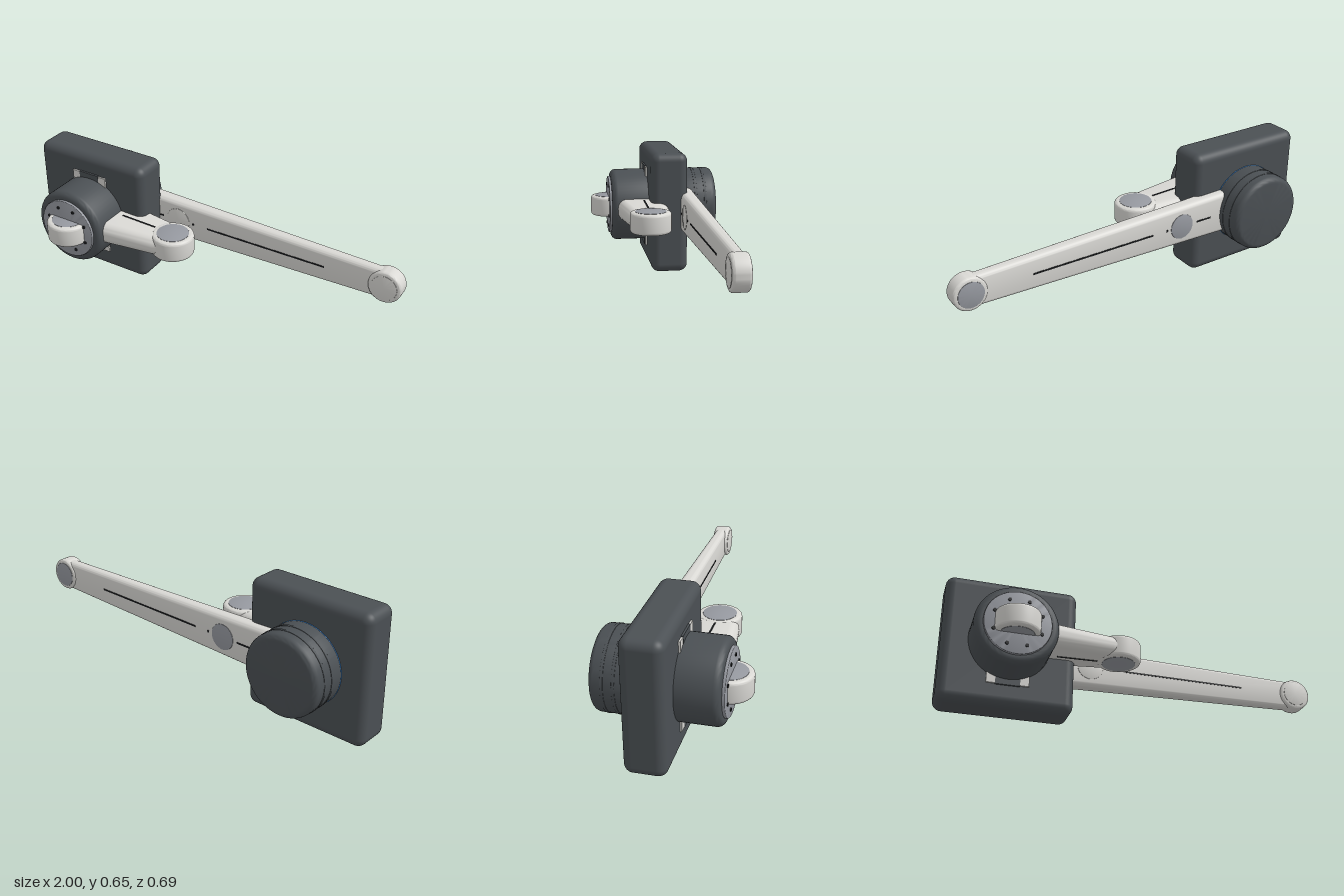
import * as THREE from 'three';
import { toCreasedNormals } from 'three/addons/utils/BufferGeometryUtils.js';
import { RoundedBoxGeometry } from 'three/addons/geometries/RoundedBoxGeometry.js';

const CX = -0.675, CY = 0.33;

function material(name, color) {
  const m = new THREE.MeshStandardMaterial({ color });
  m.name = name;
  return m;
}

// Solid disc along y with filleted rims
function roundDisc(radius, height, fillet, segments = 56) {
  const points = [new THREE.Vector2(0, -height / 2)];
  for (const side of [-1, 1]) {
    for (let i = 0; i <= 6; i++) {
      const a = side < 0 ? -Math.PI / 2 + (i / 6) * Math.PI / 2 : (i / 6) * Math.PI / 2;
      points.push(new THREE.Vector2(
        radius - fillet + Math.cos(a) * fillet,
        side * (height / 2 - fillet) + Math.sin(a) * fillet));
    }
  }
  points.push(new THREE.Vector2(0, height / 2));
  return toCreasedNormals(new THREE.LatheGeometry(points, segments), 0.6);
}

// Tapered bar along x; sections are [x, halfHeight, halfDepth, cornerRadius]
function taperedBar(sections) {
  const pos = [], index = [], steps = 8, n = 4 * (steps + 1);
  for (const [x, hy, hz, r] of sections) {
    for (let q = 0; q < 4; q++) {
      const sy = q === 0 || q === 3 ? 1 : -1, sz = q < 2 ? 1 : -1;
      for (let k = 0; k <= steps; k++) {
        const a = (q + k / steps) * Math.PI / 2;
        pos.push(x, sy * (hy - r) + Math.cos(a) * r, sz * (hz - r) + Math.sin(a) * r);
      }
    }
  }
  const rows = sections.length;
  for (let i = 0; i < rows - 1; i++) {
    for (let j = 0; j < n; j++) {
      const a = i * n + j, b = i * n + (j + 1) % n;
      index.push(a, b, a + n, b, b + n, a + n);
    }
  }
  const last = (rows - 1) * n;
  for (let j = 1; j < n - 1; j++) {
    index.push(0, j + 1, j, last, last + j, last + j + 1);
  }
  const g = new THREE.BufferGeometry();
  g.setAttribute('position', new THREE.Float32BufferAttribute(pos, 3));
  g.setIndex(index);
  return toCreasedNormals(g, 0.6);
}

export function createModel() {
  const root = new THREE.Group();
  root.name = 'armAssembly';
  const dark = material('charcoal', 0x4b5054);
  const light = material('warmWhite', 0xd9d8d4);
  const grey = material('capGrey', 0x9699a0);
  const black = material('slotBlack', 0x1b1d1f);
  const blue = material('accentBlue', 0x2f86dd);

  function add(name, geometry, mat, x, y, z) {
    const mesh = new THREE.Mesh(geometry, mat);
    mesh.name = name;
    mesh.position.set(x, y, z);
    root.add(mesh);
    return mesh;
  }
  // Disc whose axis runs front to back
  const addZDisc = (name, r, h, f, mat, x, y, z) =>
    add(name, roundDisc(r, h, f).rotateX(Math.PI / 2), mat, x, y, z);
  const box = (w, h, d) => new THREE.BoxGeometry(w, h, d);

  // Base block
  add('baseBlock', new RoundedBoxGeometry(0.65, 0.654, 0.198, 6, 0.045), dark, CX, 0.327, -0.062);

  // Drums on both sides of the block
  addZDisc('frontDrum', 0.2, 0.237, 0.032, dark, CX, CY, 0.1185);
  addZDisc('backDrum', 0.2, 0.225, 0.032, dark, CX, CY, -0.2325);
  addZDisc('accentRing', 0.201, 0.01, 0.001, blue, CX, CY, -0.1595);
  for (const z of [-0.228, -0.28]) {
    addZDisc('drumBand', 0.202, 0.014, 0.001, dark, CX, CY, z);
  }

  // Mounting brackets behind the front drum
  for (const s of [-1, 1]) {
    for (const t of [-1, 1]) {
      add('bracketTab', box(0.044, 0.12, 0.014), light, CX + s * 0.08, CY + t * 0.164, 0.039);
    }
    add('bracketBridge', box(0.118, 0.12, 0.016), dark, CX, CY + s * 0.168, 0.039);
  }

  // Face plate with a ring of bolts
  addZDisc('facePlate', 0.16, 0.022, 0.005, grey, CX, CY, 0.239);
  for (let i = 0; i < 8; i++) {
    const a = (i + 0.5) * Math.PI / 4;
    const bolt = new THREE.CylinderGeometry(0.0085, 0.0085, 0.012, 12).rotateX(Math.PI / 2);
    add('bolt', bolt, black, CX + Math.cos(a) * 0.121, CY + Math.sin(a) * 0.121, 0.249);
  }

  // Upright-axis knuckles: on the face plate and at the short arm's end
  for (const [name, x, z] of [['faceKnuckle', CX, 0.238], ['shortArmKnuckle', -0.143, 0.068]]) {
    add(name, roundDisc(0.108, 0.11, 0.016), light, x, CY, z);
    for (const s of [-1, 1]) {
      add(name + 'Cap', roundDisc(0.082, 0.004, 0.001), grey, x, CY + s * 0.0545, z);
    }
  }

  // Short arm with slots above and below
  add('shortArm', taperedBar([
    [-0.56, 0.061, 0.15, 0.05],
    [-0.2, 0.052, 0.108, 0.048],
    [-0.14, 0.045, 0.09, 0.044],
  ]), light, 0, CY, 0.068);
  for (const s of [-1, 1]) {
    const slot = add('shortArmSlot', box(0.2, 0.004, 0.008), black, -0.35, CY + s * 0.0565, 0.068);
    slot.rotation.z = -s * 0.025;
  }

  // Long arm and its end hub
  const armZ = -0.166;
  add('longArm', taperedBar([
    [-0.56, 0.112, 0.045, 0.03],
    [0.91, 0.078, 0.031, 0.024],
  ]), light, 0, CY, armZ);
  addZDisc('endHub', 0.084, 0.084, 0.014, light, 0.912, CY, -0.163);
  addZDisc('endHubBackCap', 0.065, 0.004, 0.001, grey, 0.912, CY, -0.205);
  addZDisc('endHubFrontCap', 0.065, 0.004, 0.001, light, 0.912, CY, -0.121);

  // Joint discs, slots and pins on both faces of the long arm
  const halfDepth = (x) => 0.045 - (x + 0.56) * 0.0095;
  for (const s of [-1, 1]) {
    const place = (name, geometry, mat, x) => {
      const mesh = add(name, geometry, mat, x, CY, armZ + s * halfDepth(x));
      mesh.rotation.y = s * 0.0095;
    };
    place('jointDisc', roundDisc(0.066, 0.004, 0.001).rotateX(Math.PI / 2), s < 0 ? grey : light, -0.235);
    place('longSlot', box(0.66, 0.008, 0.004), black, 0.27);
    place('shortSlot', box(0.09, 0.008, 0.004), black, -0.37);
    place('pin', roundDisc(0.006, 0.005, 0.001, 16).rotateX(Math.PI / 2), black, -0.145);
  }

  return root;
}
